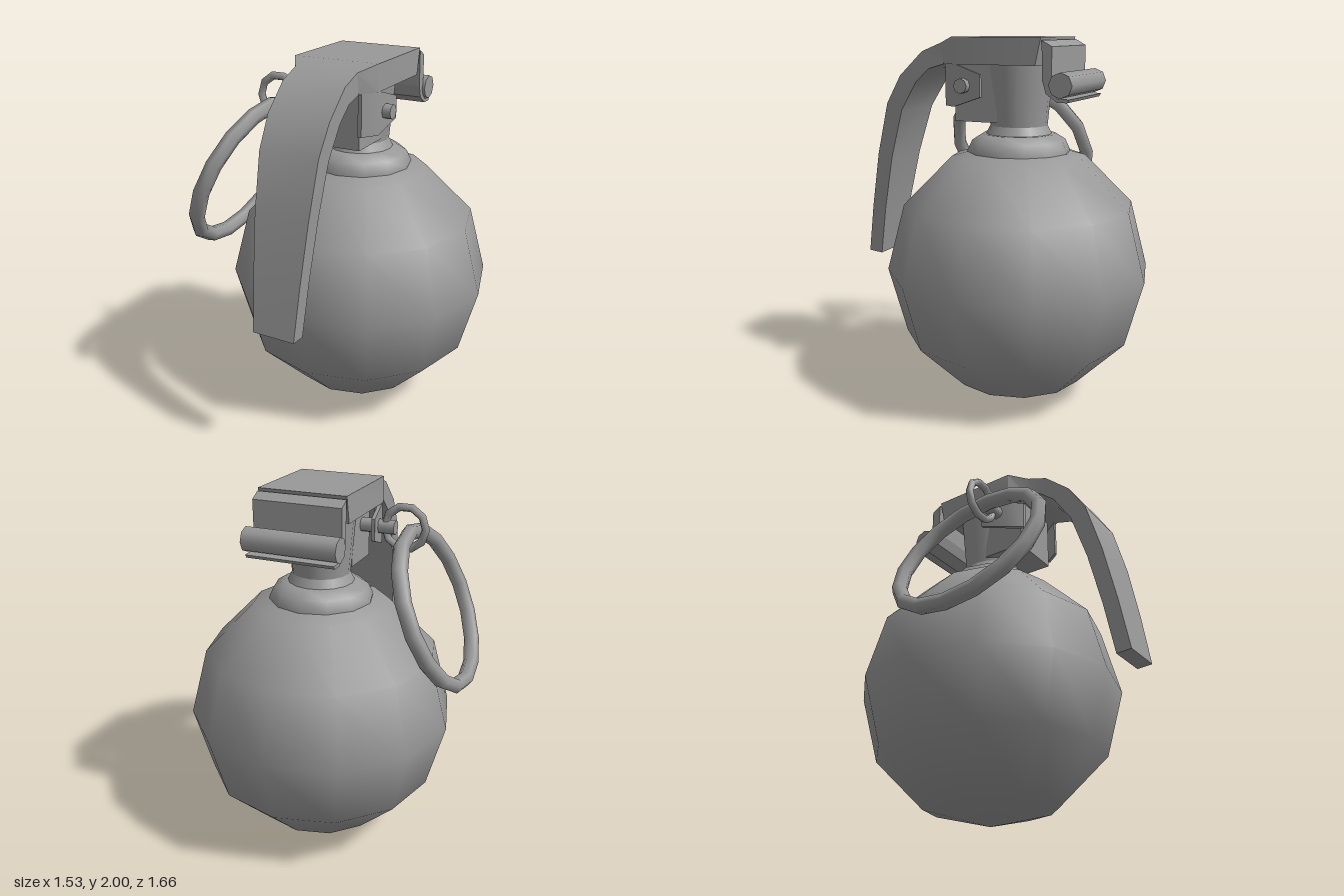
import * as THREE from 'three';
import { toCreasedNormals } from 'three/addons/utils/BufferGeometryUtils.js';

const CX = 0.038; // centre line of body and lever
const CZ = -0.1; // body axis

// Skin four-cornered cross-sections, listed from back to front, with end caps.
function loft(rings) {
  const pos = [];
  const quad = (a, b, c, d) => pos.push(...a, ...b, ...c, ...a, ...c, ...d);
  for (let k = 0; k < rings.length - 1; k++) {
    for (let j = 0; j < 4; j++) {
      const n = (j + 1) % 4;
      quad(rings[k][j], rings[k][n], rings[k + 1][n], rings[k + 1][j]);
    }
  }
  const [a, b, c, d] = rings[0];
  quad(d, c, b, a);
  quad(...rings[rings.length - 1]);
  const geo = new THREE.BufferGeometry();
  geo.setAttribute('position', new THREE.Float32BufferAttribute(pos, 3));
  return toCreasedNormals(geo, 0.6);
}

export function createModel() {
  const group = new THREE.Group();
  const metal = new THREE.MeshStandardMaterial({ color: 0x999999 });
  metal.name = 'grey metal';

  function add(name, geo, x = 0, y = 0, z = 0) {
    const mesh = new THREE.Mesh(geo, metal);
    mesh.name = name;
    mesh.position.set(x, y, z);
    group.add(mesh);
    return mesh;
  }

  // Round body, collar and flared neck
  add('body', new THREE.SphereGeometry(0.731, 12, 6), CX, 0.735, CZ);
  const collar = [[0.28, 1.34], [0.28, 1.4], [0.255, 1.455], [0.2, 1.49], [0, 1.49]]
    .map(([r, y]) => new THREE.Vector2(r, y));
  add('collar', toCreasedNormals(new THREE.LatheGeometry(collar, 12), 0.7), CX, 0, CZ);
  add('neck', new THREE.CylinderGeometry(0.188, 0.15, 0.41, 16), CX, 1.685, CZ);
  add('neckFoot', new THREE.CylinderGeometry(0.15, 0.18, 0.06, 16), CX, 1.515, CZ);

  // Block in front of the neck that carries the pin
  add('fuseBlock', new THREE.BoxGeometry(0.3, 0.33, 0.25), CX, 1.72, 0.085);

  // Lever: [outer z, outer y, inner z, inner y, half width]
  const sections = [
    [-0.325, 2, -0.295, 1.86, 0.238],
    [0.18, 2, 0.18, 1.86, 0.238],
    [0.28, 1.968, 0.265, 1.858, 0.174],
    [0.4, 1.922, 0.36, 1.83, 0.172],
    [0.545, 1.79, 0.445, 1.757, 0.17],
    [0.64, 1.635, 0.545, 1.6, 0.163],
    [0.72, 1.345, 0.63, 1.325, 0.15],
    [0.783, 1.03, 0.697, 1.02, 0.133],
    [0.83, 0.745, 0.746, 0.738, 0.118],
  ];
  add('lever', loft(sections.map(([zo, yo, zi, yi, w]) => [
    [CX - w, yi, zi], [CX + w, yi, zi], [CX + w, yo, zo], [CX - w, yo, zo],
  ])));

  // Bent side ears under the lever: [z, bottom, top, offset from centre line]
  const ear = [[0.005, 1.695, 1.812, 0.248], [0.17, 1.64, 1.865, 0.228], [0.25, 1.64, 1.865, 0.172]];
  for (const [side, name] of [[1, 'leftEar'], [-1, 'rightEar']]) {
    add(name, loft(ear.map(([z, y0, y1, off]) => {
      const x = CX + side * off, t = 0.01;
      return [[x - t, y0, z], [x + t, y0, z], [x + t, y1, z], [x - t, y1, z]];
    })));
  }

  // Hooked rear plate, drawn in the side plane and extruded across
  const hook = [
    [-0.33, 1.985], [-0.385, 1.955], [-0.385, 1.755], [-0.415, 1.703], [-0.48, 1.7],
    [-0.47, 1.683], [-0.415, 1.683], [-0.355, 1.725], [-0.335, 1.79],
  ].map(([z, y]) => new THREE.Vector2(-z, y));
  const hookGeo = new THREE.ExtrudeGeometry(new THREE.Shape(hook), { depth: 0.476, bevelEnabled: false });
  hookGeo.rotateY(Math.PI / 2);
  add('rearHook', hookGeo, CX - 0.238);

  // Hinge rod and cross pin
  const rod = (r, len, sides) => new THREE.CylinderGeometry(r, r, len, sides).rotateZ(Math.PI / 2);
  add('hingeRod', rod(0.064, 0.506, 8), CX, 1.768, -0.437);
  add('crossPin', rod(0.039, 0.625, 8), 0.0125, 1.752, 0.105);

  // Small link and the pull ring hanging from it
  add('linkRing', new THREE.TorusGeometry(0.113, 0.022, 6, 10), -0.352, 1.757, 0.103);
  const ring = add('pullRing', new THREE.TorusGeometry(0.434, 0.043, 6, 16), -0.54, 1.325, 0.155);
  ring.rotation.set(0, Math.PI / 2, -0.422, 'ZYX');

  return group;
}
